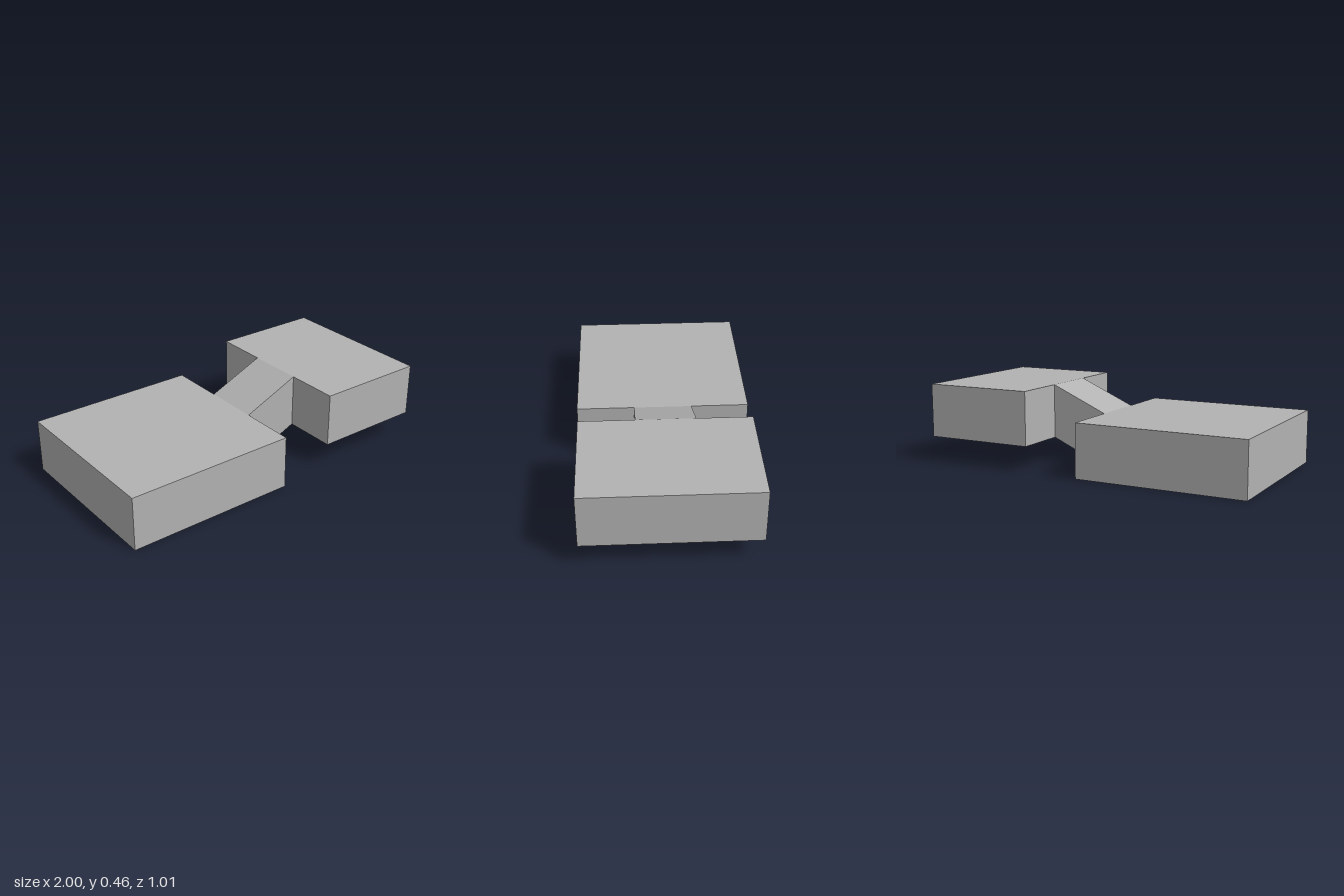
import * as THREE from 'three';

export function createModel() {
  const model = new THREE.Group();
  model.name = 'steppedBlocks';
  const grey = new THREE.MeshStandardMaterial({ color: 0xb2b2b2 });
  grey.name = 'grey';

  // Box spanning x0..x1, y0..y1 and centred on z, with its right end raised by rise
  function block(name, x0, x1, y0, y1, depth, rise = 0) {
    const geometry = new THREE.BoxGeometry(x1 - x0, y1 - y0, depth);
    geometry.translate((x0 + x1) / 2, (y0 + y1) / 2, 0);
    const p = geometry.attributes.position;
    for (let i = 0; i < p.count; i++) {
      p.setY(i, p.getY(i) + rise * (p.getX(i) - x0) / (x1 - x0));
    }
    geometry.computeVertexNormals();
    const mesh = new THREE.Mesh(geometry, grey);
    mesh.name = name;
    model.add(mesh);
  }

  const height = 0.317, lift = 0.147;
  const lowerEnd = 0.005, upperStart = 0.341;

  block('lowerBlock', -1, lowerEnd, 0, height, 1.008);
  block('upperBlock', upperStart, 1, lift, lift + height, 0.972);

  // Sloping bridge joining the two blocks
  block('slopingBridge', lowerEnd, upperStart, 0, height, 0.338, lift);

  return model;
}
